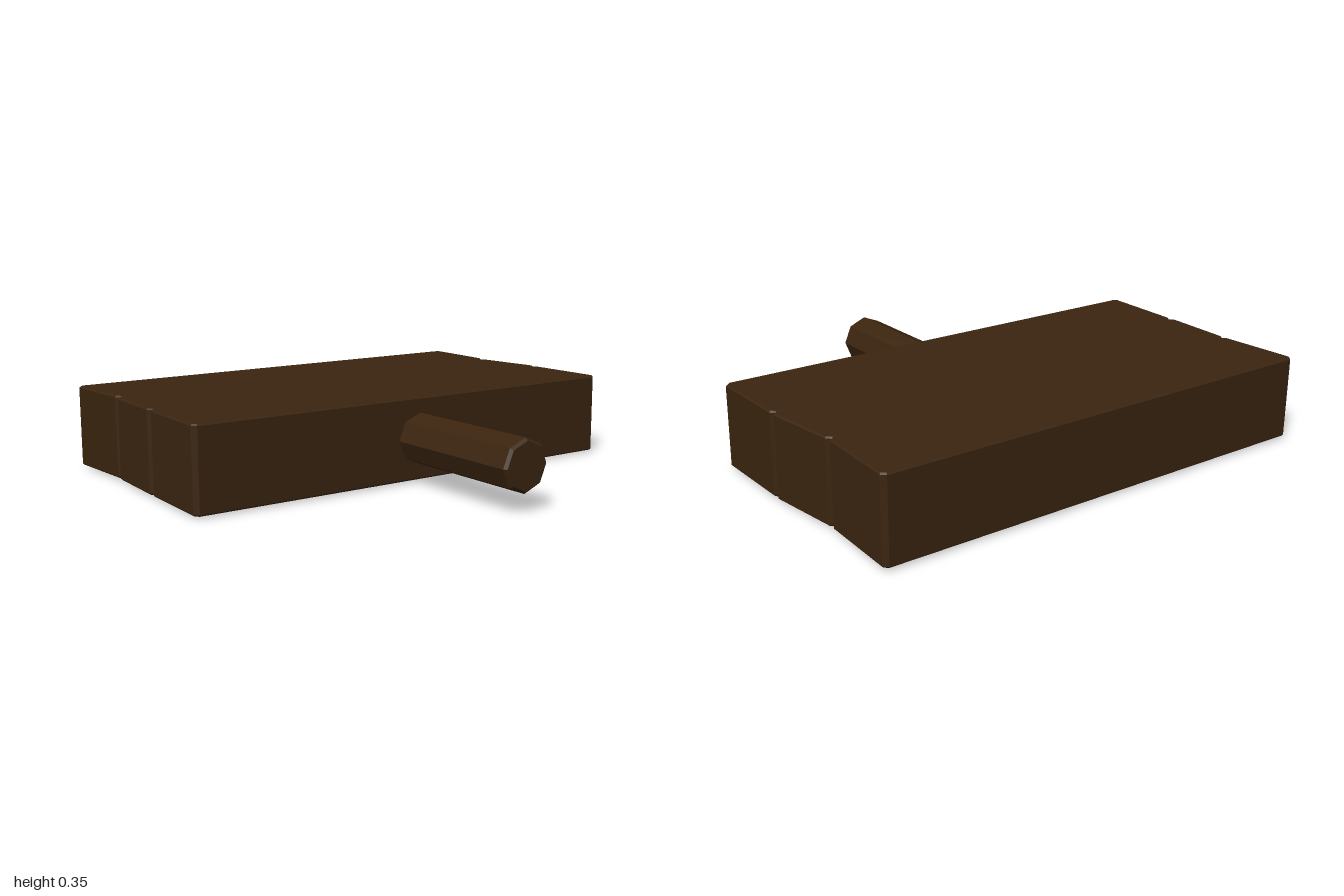
import * as THREE from 'three';

const wood = new THREE.MeshStandardMaterial({ color: 0x3b2510 });
wood.name = 'darkWood';
const paint = new THREE.MeshStandardMaterial({ color: 0xa9b6be });
paint.name = 'paleGreyPaint';

function addMesh(parent, name, geometry, material) {
  const mesh = new THREE.Mesh(geometry, material);
  mesh.name = name;
  parent.add(mesh);
  return mesh;
}

// Upright slab between two heights, from an outline of [x, z] points
function slab(outline, bottom, top, bevel = 0) {
  const shape = new THREE.Shape(outline.map(([x, z]) => new THREE.Vector2(x, z)));
  const geometry = new THREE.ExtrudeGeometry(shape, {
    depth: top - bottom - 2 * bevel,
    bevelEnabled: bevel > 0,
    bevelThickness: bevel,
    bevelSize: bevel,
    bevelOffset: -bevel,
    bevelSegments: 1,
  });
  geometry.rotateX(Math.PI / 2);
  geometry.translate(0, top - bevel, 0);
  return geometry;
}

// Slightly crooked plank outline with cut corners
function plankOutline([backLeft, backRight, frontRight, frontLeft]) {
  const corners = [backLeft, backRight, frontRight, frontLeft].map((p) => new THREE.Vector2(...p));
  const cut = 0.018;
  const outline = [];
  corners.forEach((corner, i) => {
    for (const other of [corners[(i + 3) % 4], corners[(i + 1) % 4]]) {
      const p = other.clone().sub(corner).setLength(cut).add(corner);
      outline.push([p.x, p.y]);
    }
  });
  return outline;
}

// Dashed arrow on the underside, pointing along +x or -x
function dashedArrow(name, tipX, z, dir, dashes, headBottom) {
  const arrow = new THREE.Group();
  arrow.name = name;
  for (const x of dashes) {
    const dash = [[x - 0.095, z - 0.025], [x + 0.095, z - 0.025], [x + 0.095, z + 0.025], [x - 0.095, z + 0.025]];
    addMesh(arrow, 'dash', slab(dash, 0.012, 0.019), paint);
  }
  const head = [[0, 0], [-0.09, 0.09], [-0.13, 0.055], [-0.07, 0], [-0.13, -0.055], [-0.09, -0.09]]
    .map(([x, dz]) => [tipX + dir * x, z + dz]);
  addMesh(arrow, 'arrowHead', slab(head, headBottom, headBottom + 0.0095), paint);
  return arrow;
}

export function createModel() {
  const model = new THREE.Group();
  model.name = 'woodenSign';

  // Three planks side by side, corners listed around each plank
  const planks = [
    ['backPlank', 0.017, 0.355, [[-0.993, -0.846], [0.96, -0.856], [0.95, -0.491], [-0.97, -0.491]]],
    ['middlePlank', 0.016, 0.353, [[-0.975, -0.491], [0.948, -0.491], [0.995, -0.161], [-0.99, -0.161]]],
    ['frontPlank', 0.015, 0.352, [[-0.988, -0.161], [0.992, -0.161], [1.0, 0.22], [-1.0, 0.22]]],
  ];
  for (const [name, bottom, top, corners] of planks) {
    addMesh(model, name, slab(plankOutline(corners), bottom, top, 0.006), wood);
  }

  // Eight-sided post with a chamfered end
  const profile = [[0, 0.1], [0.105, 0.1], [0.105, 0.838], [0.094, 0.85], [0, 0.85]]
    .map(([r, y]) => new THREE.Vector2(r, y));
  const postGeometry = new THREE.LatheGeometry(profile, 8).toNonIndexed();
  postGeometry.rotateX(Math.PI / 2);
  postGeometry.computeVertexNormals();
  addMesh(model, 'post', postGeometry, wood).position.set(0.01, 0.184, 0);

  // Painted arrows running in opposite directions underneath
  model.add(dashedArrow('backArrow', 0.475, -0.63, 1, [0.18, -0.07, -0.32], 0.01));
  model.add(dashedArrow('frontArrow', -0.4, 0, -1, [0.43, 0.18, -0.07], 0.006));

  return model;
}
